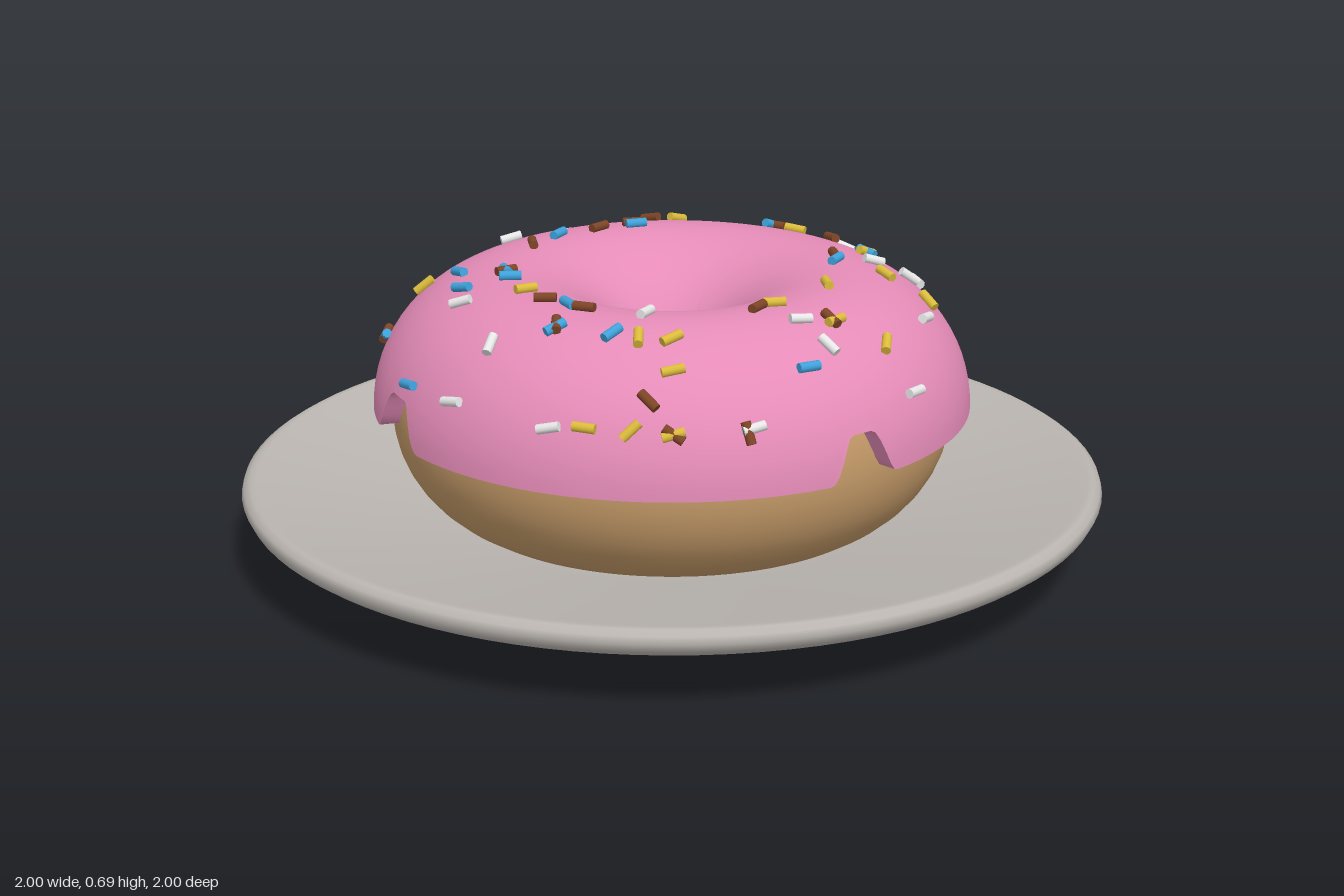
import * as THREE from 'three';

const RING = 0.38;      // distance from the axis to the middle of the ring
const ICING_Y = 0.36;   // height of the icing's lower edge
const ICING_R = 0.31;

const paint = (name, color) => {
  const m = new THREE.MeshStandardMaterial({ color });
  m.name = name;
  return m;
};
const rad = THREE.MathUtils.degToRad;

// Notches in the icing edge: [azimuth, half width] in degrees
const NOTCHES = [[41, 7.5], [142, 9.5], [240, 8.5], [290, 7.5]];

// How far the icing edge rises at an azimuth
function notchRise(deg) {
  let rise = 0;
  for (const [centre, half] of NOTCHES) {
    const t = Math.abs(deg - centre) / half;
    rise = Math.max(rise, 0.1 * (1 - THREE.MathUtils.smoothstep(t, 0.3, 1)));
  }
  return rise;
}

// Closed band around the y axis; section(azimuthDeg, j) gives [radius, y]
function band(section, rows, material, name) {
  const cols = 360, pos = [], index = [];
  for (let i = 0; i < cols; i++) {
    const a = rad(i);
    for (let j = 0; j <= rows; j++) {
      const [r, y] = section(i, j);
      pos.push(r * Math.cos(a), y, r * Math.sin(a));
      if (j === rows) continue;
      const p = i * (rows + 1) + j, q = ((i + 1) % cols) * (rows + 1) + j;
      index.push(p, p + 1, q, q, p + 1, q + 1);
    }
  }
  const g = new THREE.BufferGeometry();
  g.setAttribute('position', new THREE.Float32BufferAttribute(pos, 3));
  g.setIndex(index);
  g.computeVertexNormals();
  const mesh = new THREE.Mesh(g, material);
  mesh.name = name;
  return mesh;
}

function makeIcing(material) {
  const group = new THREE.Group();
  group.name = 'icing';
  const rows = 36;
  const edge = (deg) => Math.asin(notchRise(deg) / ICING_R);
  const at = (phi) => [RING + ICING_R * Math.cos(phi), ICING_Y + ICING_R * Math.sin(phi)];
  group.add(band((deg, j) => {
    const e = edge(deg);
    return at(e + (Math.PI - 2 * e) * j / rows);
  }, rows, material, 'icingTop'));
  // Undersides of the icing, running back into the dough
  const lip = (deg, side) => {
    const h = notchRise(deg);
    return [RING + side * Math.sqrt(0.25 ** 2 - h * h), ICING_Y + h];
  };
  group.add(band((d, j) => (j ? at(edge(d)) : lip(d, 1)), 1, material, 'outerIcingLip'));
  group.add(band((d, j) => (j ? lip(d, -1) : at(Math.PI - edge(d))), 1, material, 'innerIcingLip'));
  return group;
}

// Sprinkles by colour: [x, z, heading in degrees], laid on the icing
const SPRINKLES = {
  yellow: [[-.03, -.59, -10], [-.09, -.49, 60], [-.04, -.67, 0], [.21, -.46, -10], [.44, -.5, -35],
    [.5, -.43, 40], [.41, -.28, 50], [.48, -.1, -40], [.58, -.1, -25], [.37, .07, -70], [.28, .24, 20],
    [.53, .25, -70], [.42, .27, 60], [.1, .48, 50], [.12, .56, 30], [.05, .66, 70], [.14, .65, 45],
    [.03, .49, -80], [-.58, .04, 10], [-.28, .25, 40], [-.6, -.3, 30], [-.05, .66, -10]],
  brown: [[-.26, -.54, 70], [-.15, -.46, -30], [-.17, -.35, 25], [-.36, -.12, -70], [-.24, -.29, 60],
    [.16, -.47, -20], [.31, -.39, -60], [.44, -.57, -25], [.5, -.35, 80], [.35, -.17, -70],
    [-.65, .12, 60], [-.36, .12, 45], [-.22, .31, 10], [-.12, .36, -10], [.25, .28, 70],
    [.41, .27, -40], [.08, .62, -50], [.14, .65, -45], [-.16, .45, -80], [.29, .6, -60]],
  blue: [[-.19, -.56, 60], [-.16, -.34, 30], [-.32, -.21, 75], [-.5, -.44, 45], [.15, -.47, 60],
    [.41, -.28, -30], [.36, -.13, 75], [-.48, .09, -45], [-.36, .12, -60], [-.34, .16, 20],
    [-.44, .21, -25], [-.16, .34, -50], [-.16, .46, 45], [-.03, .48, 60], [.39, .44, 40],
    [-.5, .44, -30], [-.65, .13, -20], [-.12, -.58, -60]],
  white: [[-.12, -.59, 30], [-.35, -.45, 45], [-.54, -.36, 30], [.33, -.47, 0], [.53, -.27, -50],
    [.44, -.19, 30], [.52, -.22, 25], [.59, .03, 70], [-.44, -.22, 25], [-.42, .29, 0], [.02, .37, 75],
    [.35, .31, 30], [.42, .36, -30], [-.3, .48, 75], [-.37, .55, -10], [-.13, .66, 20], [.6, .28, 60],
    [-.04, -.67, 70], [.21, -.63, -40], [.3, .59, 50]],
};

function makeSprinkles(materials) {
  const group = new THREE.Group();
  group.name = 'sprinkles';
  const stick = new THREE.CylinderGeometry(0.011, 0.011, 0.05, 10);
  const up = new THREE.Vector3(0, 1, 0);
  for (const [colour, list] of Object.entries(SPRINKLES)) {
    for (const [x, z, heading] of list) {
      const r = Math.hypot(x, z);
      const c = THREE.MathUtils.clamp((r - RING) / 0.318, -0.9, 0.9);
      const s = Math.sqrt(1 - c * c);
      const normal = new THREE.Vector3(c * x / r, s, c * z / r);
      const along = new THREE.Vector3(Math.cos(rad(heading)), 0, -Math.sin(rad(heading)));
      along.projectOnPlane(normal).normalize();
      const mesh = new THREE.Mesh(stick, materials[colour]);
      mesh.name = colour + 'Sprinkle';
      mesh.position.set(RING * x / r, ICING_Y, RING * z / r).addScaledVector(normal, 0.318);
      mesh.quaternion.setFromUnitVectors(up, along);
      group.add(mesh);
    }
  }
  return group;
}

export function createModel() {
  const model = new THREE.Group();
  model.name = 'doughnutOnPlate';

  // Plate: flat foot, sloping underside, rounded rim, shallow well
  const profile = [[0, 0], [.36, 0], [.39, .002], [.41, .008], [.45, .025], [.5, .037], [.93, .125], [.97, .137],
    [.99, .152], [1, .172], [.995, .188], [.98, .198], [.965, .198], [.94, .191], [.5, .1],
    [.45, .09], [.4, .085], [0, .085]].map(([x, y]) => new THREE.Vector2(x, y));
  const plate = new THREE.Mesh(new THREE.LatheGeometry(profile, 96), paint('plate grey', 0xbab5b0));
  plate.name = 'plate';
  model.add(plate);

  // Dough ring
  const dough = new THREE.Mesh(new THREE.TorusGeometry(RING, 0.267, 40, 96), paint('dough tan', 0xc49a68));
  dough.name = 'dough';
  dough.rotation.x = -Math.PI / 2;
  dough.position.y = 0.352;
  model.add(dough);

  model.add(makeIcing(paint('icing pink', 0xe58cb8)));
  model.add(makeSprinkles({
    yellow: paint('sprinkle yellow', 0xdcbc3c),
    brown: paint('sprinkle brown', 0x7e4527),
    blue: paint('sprinkle blue', 0x3fa3dc),
    white: paint('sprinkle white', 0xe8e8e8),
  }));
  return model;
}
